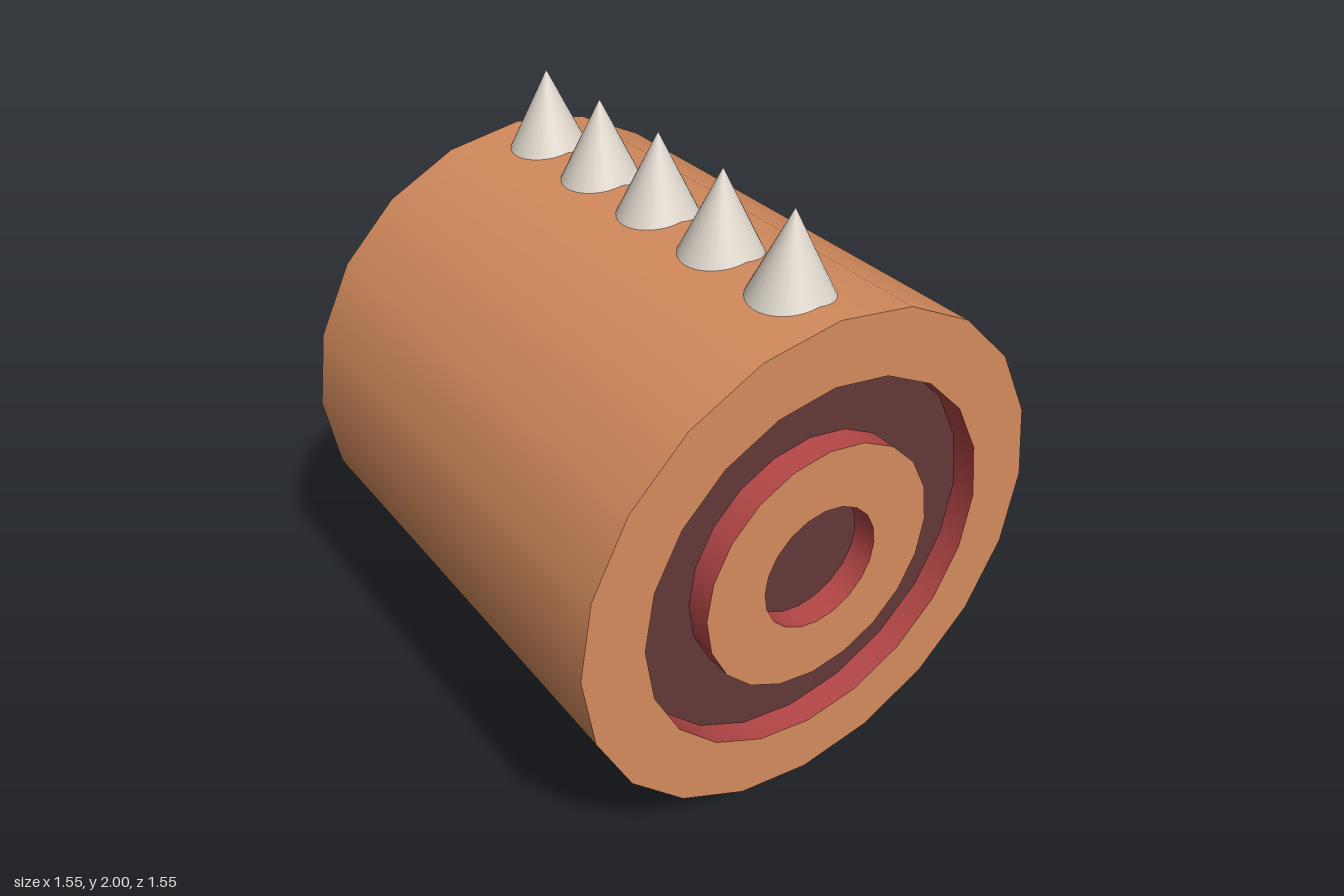
import * as THREE from 'three';

const SIDES = 20, R = 0.775, HALF = 0.775, FLOOR = HALF - 0.08;
const RINGS = { outer: 0.582, inner: 0.387, hole: 0.194 };

export function createModel() {
  const wood = new THREE.MeshStandardMaterial({ color: 0xd48b5d });
  const darkWood = new THREE.MeshStandardMaterial({ color: 0x633838 });
  const redWall = new THREE.MeshStandardMaterial({ color: 0xb84848 });
  const bone = new THREE.MeshStandardMaterial({ color: 0xded6cb });
  wood.name = 'wood';
  darkWood.name = 'dark groove floor';
  redWall.name = 'red groove wall';
  bone.name = 'pale spike';

  const model = new THREE.Group();
  model.name = 'spikedLog';

  // Half of the log, as one profile run from the bark to the centre; each step is its own crisp face
  const { outer, inner, hole } = RINGS;
  const steps = [
    ['rim', wood, [R, HALF], [outer, HALF]],
    ['grooveOuterWall', redWall, [outer, HALF], [outer, FLOOR]],
    ['grooveFloor', darkWood, [outer, FLOOR], [inner, FLOOR]],
    ['grooveInnerWall', redWall, [inner, FLOOR], [inner, HALF]],
    ['innerRing', wood, [inner, HALF], [hole, HALF]],
    ['holeWall', redWall, [hole, HALF], [hole, FLOOR]],
    ['holeFloor', darkWood, [hole, FLOOR], [0, FLOOR]],
  ];
  const turned = (a, b) =>
    new THREE.LatheGeometry([new THREE.Vector2(...a), new THREE.Vector2(...b)], SIDES);

  const log = new THREE.Group();
  log.name = 'log';
  log.position.y = 1;
  model.add(log);

  // Bark
  const bark = new THREE.Mesh(turned([R, -HALF], [R, HALF]), wood);
  bark.name = 'bark';
  bark.rotation.x = Math.PI / 2;
  log.add(bark);

  // Grooved faces at both ends
  for (const side of [1, -1]) {
    const end = new THREE.Group();
    end.name = side > 0 ? 'frontEnd' : 'backEnd';
    end.rotation.x = side * Math.PI / 2;
    for (const [name, material, a, b] of steps) {
      const mesh = new THREE.Mesh(turned(a, b), material);
      mesh.name = name;
      end.add(mesh);
    }
    log.add(end);
  }

  // Rows of spikes along the top and bottom, sunk into the bark
  const spikeHeight = 0.3;
  const spikeGeometry = new THREE.ConeGeometry(0.148, spikeHeight, 32);
  for (const side of [1, -1]) {
    const row = new THREE.Group();
    row.name = side > 0 ? 'topSpikes' : 'bottomSpikes';
    for (let i = -2; i <= 2; i++) {
      const spike = new THREE.Mesh(spikeGeometry, bone);
      spike.name = 'spike';
      spike.position.set(0, side * (1 - spikeHeight / 2), i * 0.291);
      if (side < 0) spike.rotation.x = Math.PI;
      row.add(spike);
    }
    log.add(row);
  }
  return model;
}
